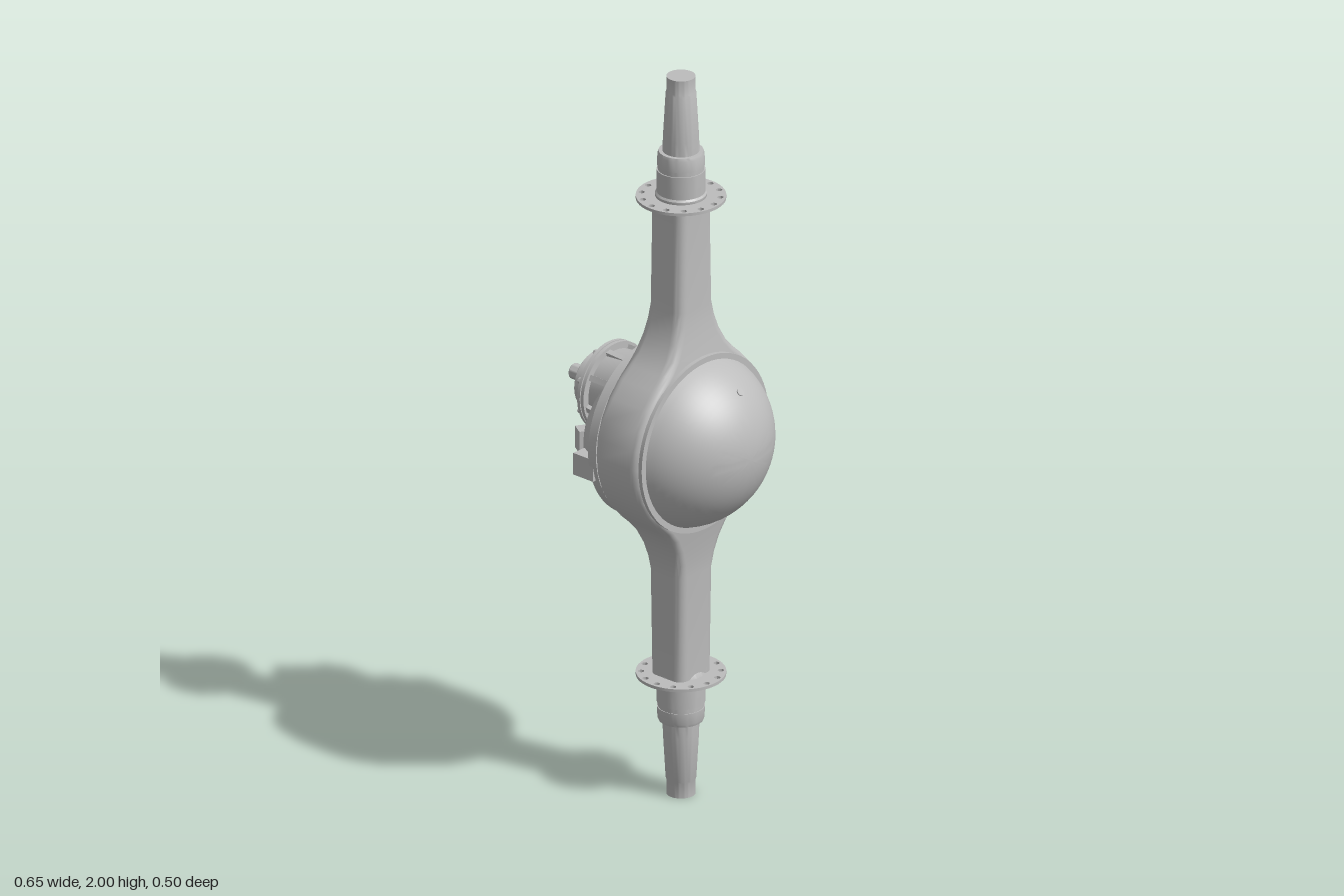
import * as THREE from 'three';
import { toCreasedNormals } from 'three/addons/utils/BufferGeometryUtils.js';

const steel = new THREE.MeshStandardMaterial({ color: 0xbcbcbc });
steel.name = 'cast steel';

function add(parent, name, geometry, x = 0, y = 0, z = 0) {
  const mesh = new THREE.Mesh(toCreasedNormals(geometry, 0.6), steel);
  mesh.name = name;
  mesh.position.set(x, y, z);
  parent.add(mesh);
  return mesh;
}

// Turned part; the profile is [position along axis, radius] in ascending order
function turned(profile, alongX = false, segments = 48) {
  const g = new THREE.LatheGeometry(profile.map(([h, r]) => new THREE.Vector2(r, h)), segments);
  return alongX ? g.rotateZ(-Math.PI / 2) : g;
}

// Hex bolts in a circle around an x-facing flange
function boltCircle(parent, name, count, radius, x, y, z, size, height) {
  for (let i = 0; i < count; i++) {
    const a = ((i + 0.5) / count) * Math.PI * 2;
    const g = new THREE.CylinderGeometry(size, size, height, 6).rotateZ(Math.PI / 2);
    add(parent, name, g, x, y + Math.cos(a) * radius, z + Math.sin(a) * radius);
  }
}

// Banjo housing: rounded rectangles lofted along y, [height, half depth x, half width z]
function housingGeometry() {
  const half = [[0, 0.076, 0.25], [0.05, 0.076, 0.245], [0.1, 0.076, 0.229], [0.15, 0.076, 0.2],
    [0.19, 0.075, 0.164], [0.22, 0.073, 0.132], [0.25, 0.07, 0.107], [0.29, 0.065, 0.086],
    [0.33, 0.061, 0.073], [0.37, 0.058, 0.066], [0.665, 0.056, 0.062]];
  const rows = [...half.slice(1).reverse().map(([y, x, z]) => [-y, x, z]), ...half];
  const pos = [], index = [], n = 24;
  for (const [y, hx, hz] of rows) {
    const r = 0.026;
    for (let q = 0; q < 4; q++) for (let k = 0; k < 6; k++) {
      const a = (q + k / 5) * Math.PI / 2;
      const sx = q === 0 || q === 3 ? 1 : -1, sz = q < 2 ? 1 : -1;
      pos.push(sx * (hx - r) + r * Math.cos(a), y, sz * (hz - r) + r * Math.sin(a));
    }
  }
  for (let i = 0; i < rows.length - 1; i++) for (let j = 0; j < n; j++) {
    const a = i * n + j, b = i * n + (j + 1) % n;
    index.push(a, a + n, b, b, a + n, b + n);
  }
  const g = new THREE.BufferGeometry();
  g.setAttribute('position', new THREE.Float32BufferAttribute(pos, 3));
  g.setIndex(index);
  return g;
}

// Thin brake mounting disc with a ring of holes
function brakeFlangeGeometry() {
  const shape = new THREE.Shape().absarc(0, 0, 0.115, 0, Math.PI * 2);
  for (let i = 0; i < 14; i++) {
    const a = ((i + 0.3) / 14) * Math.PI * 2;
    shape.holes.push(new THREE.Path().absarc(Math.cos(a) * 0.101, Math.sin(a) * 0.101, 0.008, 0, Math.PI * 2, true));
  }
  return new THREE.ExtrudeGeometry(shape, { depth: 0.008, bevelEnabled: false, curveSegments: 24 })
    .rotateX(-Math.PI / 2);
}

// Radial web between pinion barrel and carrier flange
function ribGeometry(outer) {
  const s = new THREE.Shape([[-0.275, 0.06], [-0.09, 0.06], [-0.09, outer], [-0.16, outer - 0.03], [-0.275, 0.112]]
    .map(([x, y]) => new THREE.Vector2(x, y)));
  return new THREE.ExtrudeGeometry(s, { depth: 0.016, bevelEnabled: false }).translate(0, 0, -0.008);
}

export function createModel() {
  const model = new THREE.Group();
  model.name = 'driveAxle';
  const axle = new THREE.Group();
  axle.name = 'axle';
  axle.position.set(0.085, 1, 0);
  axle.rotation.y = 0.055;
  model.add(axle);

  add(axle, 'banjoHousing', housingGeometry());

  // Axle ends: flange, collars and tapered spindle, top and bottom
  for (const side of ['upper', 'lower']) {
    const end = new THREE.Group();
    end.name = side + 'AxleEnd';
    if (side === 'lower') end.rotation.x = Math.PI;
    axle.add(end);
    add(end, 'brakeFlange', brakeFlangeGeometry(), 0, 0.66, 0);
    add(end, 'spindle', turned([[0.64, 0.05], [0.664, 0.066], [0.675, 0.066], [0.68, 0.062], [0.742, 0.062],
      [0.742, 0.059], [0.755, 0.059], [0.755, 0.061], [0.785, 0.06], [0.793, 0.057], [0.793, 0.047],
      [0.83, 0.046], [0.955, 0.039], [0.96, 0.037], [1, 0.037], [1, 0]]));
  }

  // Rear cover
  add(axle, 'coverFlange', turned([[0.06, 0.2], [0.072, 0.239], [0.083, 0.239], [0.083, 0.22]], true, 64));
  const dome = [];
  for (let i = 0; i <= 14; i++) {
    const a = 1.236 * (1 - i / 14);
    dome.push([0.002 + 0.238 * Math.cos(a), 0.238 * Math.sin(a)]);
  }
  add(axle, 'domeCover', turned(dome, true, 64));
  const plug = add(axle, 'fillerPlug', new THREE.CylinderGeometry(0.011, 0.011, 0.008, 12), 0.174, 0.159, -0.03);
  plug.quaternion.setFromUnitVectors(new THREE.Vector3(0, 1, 0), new THREE.Vector3(0.174, 0.16, -0.03).normalize());

  // Carrier flange and gear bulge
  add(axle, 'carrierFlange', turned([[-0.1, 0], [-0.1, 0.24], [-0.073, 0.24], [-0.073, 0.2]], true, 64));
  boltCircle(axle, 'carrierBolt', 14, 0.224, -0.1, 0, 0, 0.01, 0.012);
  const bulge = new THREE.SphereGeometry(1, 40, 24).scale(0.142, 0.19, 0.197);
  add(axle, 'gearBulge', bulge, -0.09, -0.024, 0.018);
  for (const s of [-1, 1]) {
    add(axle, 'carrierLug', new THREE.BoxGeometry(0.068, 0.06, 0.055), -0.12, -0.05, s * 0.209);
  }
  const pad = add(axle, 'bulgePad', new THREE.BoxGeometry(0.04, 0.06, 0.07), -0.19, -0.025, 0.132);
  pad.rotation.y = -0.55;

  // Pinion barrel, bearing cage and input shaft
  const py = 0.035, pz = -0.045;
  add(axle, 'pinionBarrel', turned([[-0.28, 0.1], [-0.15, 0.112], [-0.12, 0.122], [-0.09, 0.145]], true), 0, py, pz);
  add(axle, 'bearingCage', turned([[-0.343, 0], [-0.343, 0.07], [-0.337, 0.077], [-0.288, 0.077], [-0.288, 0.12],
    [-0.279, 0.12], [-0.279, 0.115], [-0.276, 0.115], [-0.276, 0.12], [-0.266, 0.12], [-0.266, 0.09]], true), 0, py, pz);
  boltCircle(axle, 'cageBolt', 8, 0.108, -0.29, py, pz, 0.008, 0.018);
  add(axle, 'inputShaft', turned([[-0.41, 0], [-0.41, 0.018], [-0.407, 0.021], [-0.37, 0.021], [-0.37, 0.016],
    [-0.364, 0.016], [-0.364, 0.028], [-0.34, 0.028]], true, 24), 0, py, pz);
  const outers = [0.135, 0.145, 0.16, 0.17, 0.18, 0.175, 0.165, 0.145];
  outers.forEach((outer, i) => {
    add(axle, 'carrierRib', ribGeometry(outer), 0, py, pz).rotation.x = (i / 8) * Math.PI * 2 + 0.25;
  });

  return model;
}
